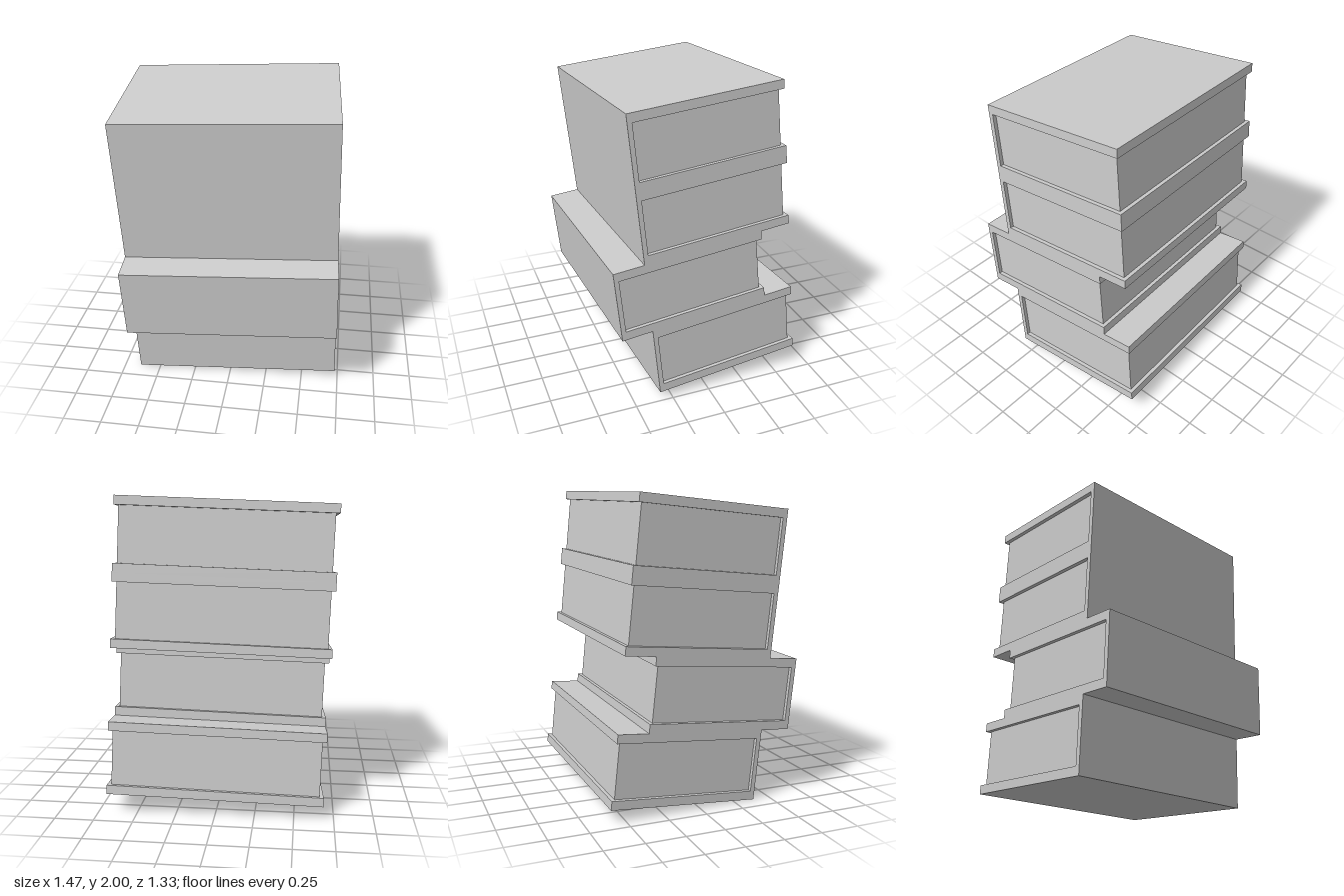
import * as THREE from 'three';

// Leaning stack of four thick hardback books, spines to the front
const W = 1.372, H = 0.468, D = 0.99;
const BOARD = 0.057, SPINE = 0.03, INSET = 0.025;
const SLIDE = [0, 0.2, 0, 0]; // how far each book is pushed forward

export function createModel() {
  const grey = new THREE.MeshStandardMaterial({ color: 0xcccccc });
  grey.name = 'plain grey';

  // Cover: C-shaped profile (two boards and a spine) extruded along the width
  const profile = new THREE.Shape([
    [0, 0], [D, 0], [D, BOARD], [SPINE, BOARD],
    [SPINE, H - BOARD], [D, H - BOARD], [D, H], [0, H],
  ].map(([x, y]) => new THREE.Vector2(x, y)));
  const coverGeo = new THREE.ExtrudeGeometry(profile, { depth: W, bevelEnabled: false });
  coverGeo.translate(0, 0, -W / 2).rotateY(Math.PI / 2);

  // Page block: recessed behind the boards on three sides
  const pageDepth = D - SPINE - INSET;
  const pageGeo = new THREE.BoxGeometry(W - 2 * INSET, H - 2 * BOARD, pageDepth);
  pageGeo.translate(0, H / 2, -SPINE - pageDepth / 2);

  const stack = new THREE.Group();
  stack.name = 'bookStack';
  SLIDE.forEach((slide, i) => {
    const book = new THREE.Group();
    book.name = `book${i + 1}`;
    const cover = new THREE.Mesh(coverGeo, grey);
    cover.name = 'cover';
    const pages = new THREE.Mesh(pageGeo, grey);
    pages.name = 'pages';
    book.add(cover, pages);
    book.position.set(0, i * H, slide);
    stack.add(book);
  });

  // Tilt of the whole stack, from its width and height directions
  const x = new THREE.Vector3(0.998, 0.0364, -0.041).normalize();
  const z = x.clone().cross(new THREE.Vector3(-0.029, 0.9956, 0.0908)).normalize();
  const y = z.clone().cross(x);
  stack.quaternion.setFromRotationMatrix(new THREE.Matrix4().makeBasis(x, y, z));
  stack.position.set(0.73, 0.05, 0.33).addScaledVector(x, -W / 2);

  const model = new THREE.Group();
  model.name = 'leaningBooks';
  model.add(stack);
  return model;
}
